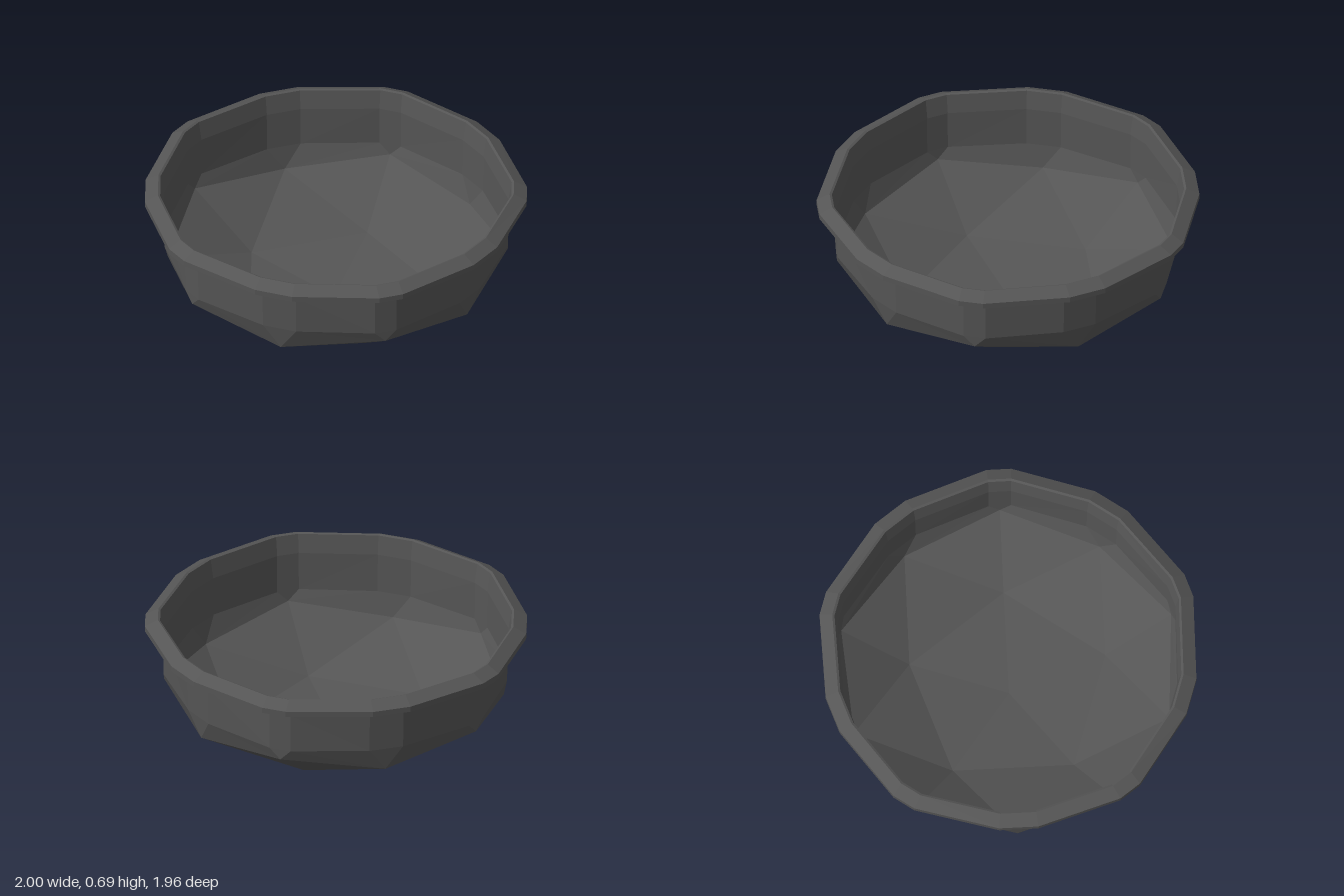
import * as THREE from 'three';

const SHIFT_X = 0.01;
const DEG = Math.PI / 180;

// Point at azimuth (degrees), radius and height
const polar = (az, r, y) => [Math.cos(az * DEG) * r + SHIFT_X, y, Math.sin(az * DEG) * r];

// Ten facet directions, alternating narrow (even) and wide (odd) ones, each split in two: 20 corners
function ring20(rEven, rOdd, y) {
  const ring = [];
  for (let i = 0; i < 10; i++) {
    const odd = i % 2, half = odd ? 3.7 : 5.9, r = odd ? rOdd : rEven;
    ring.push(polar(i * 36 - half, r, y), polar(i * 36 + half, r, y));
  }
  return ring;
}

// Faceted surface collected triangle by triangle
class Facets {
  positions = [];
  tri(a, b, c) { this.positions.push(...a, ...b, ...c); }
  quad(a, b, c, d) { this.tri(a, b, c); this.tri(a, c, d); }
  band(low, high) {
    low.forEach((p, i) => {
      const j = (i + 1) % low.length;
      this.quad(p, high[i], high[j], low[j]);
    });
  }
  mesh(name, material) {
    const g = new THREE.BufferGeometry();
    g.setAttribute('position', new THREE.Float32BufferAttribute(this.positions, 3));
    g.computeVertexNormals();
    const m = new THREE.Mesh(g, material);
    m.name = name;
    return m;
  }
}

export function createModel() {
  const group = new THREE.Group();
  group.name = 'bowl';
  const material = new THREE.MeshStandardMaterial({
    color: 0x555555, flatShading: true, side: THREE.DoubleSide,
  });

  // Bowl: faceted bottom, a zigzag shoulder ring, then an upright wall
  const bowl = new Facets();
  const pole = polar(0, 0, 0);
  const base = [], shoulder = [];
  for (let i = 0; i < 5; i++) base.push(polar(36 + 72 * i, 0.54, 0.055));
  for (let i = 0; i < 10; i++) {
    shoulder.push(i % 2 ? polar(i * 36, 0.91, 0.31) : polar(i * 36, 0.87, 0.24));
  }
  const wallLow = ring20(0.893, 0.914, 0.37);
  const wallHigh = ring20(0.9, 0.917, 0.585);

  for (let i = 0; i < 5; i++) {
    const next = base[(i + 1) % 5];
    const before = shoulder[2 * i], corner = shoulder[2 * i + 1], after = shoulder[(2 * i + 2) % 10];
    bowl.tri(pole, base[i], next);
    bowl.tri(base[i], after, next);
    bowl.tri(base[i], before, corner);
    bowl.tri(base[i], corner, after);
  }
  for (let i = 0; i < 10; i++) {
    const j = (i + 1) % 10;
    bowl.tri(shoulder[i], wallLow[2 * i], wallLow[2 * i + 1]);
    bowl.quad(shoulder[i], wallLow[2 * i + 1], wallLow[2 * j], shoulder[j]);
  }
  bowl.band(wallLow, wallHigh);
  group.add(bowl.mesh('bowlShell', material));

  // Rim: cross-section (inset from the outer edge, height) carried round the 20 corners
  const profile = [
    [0.095, 0.585], [0.045, 0.622], [0, 0.628], [0, 0.658],
    [0.068, 0.695], [0.08, 0.69], [0.098, 0.585],
  ];
  const rings = profile.map(([inset, y]) => ring20(0.995 - inset, 1.012 - inset, y));
  const rim = new Facets();
  for (let i = 0; i < rings.length - 1; i++) rim.band(rings[i], rings[i + 1]);
  group.add(rim.mesh('rim', material));

  return group;
}
